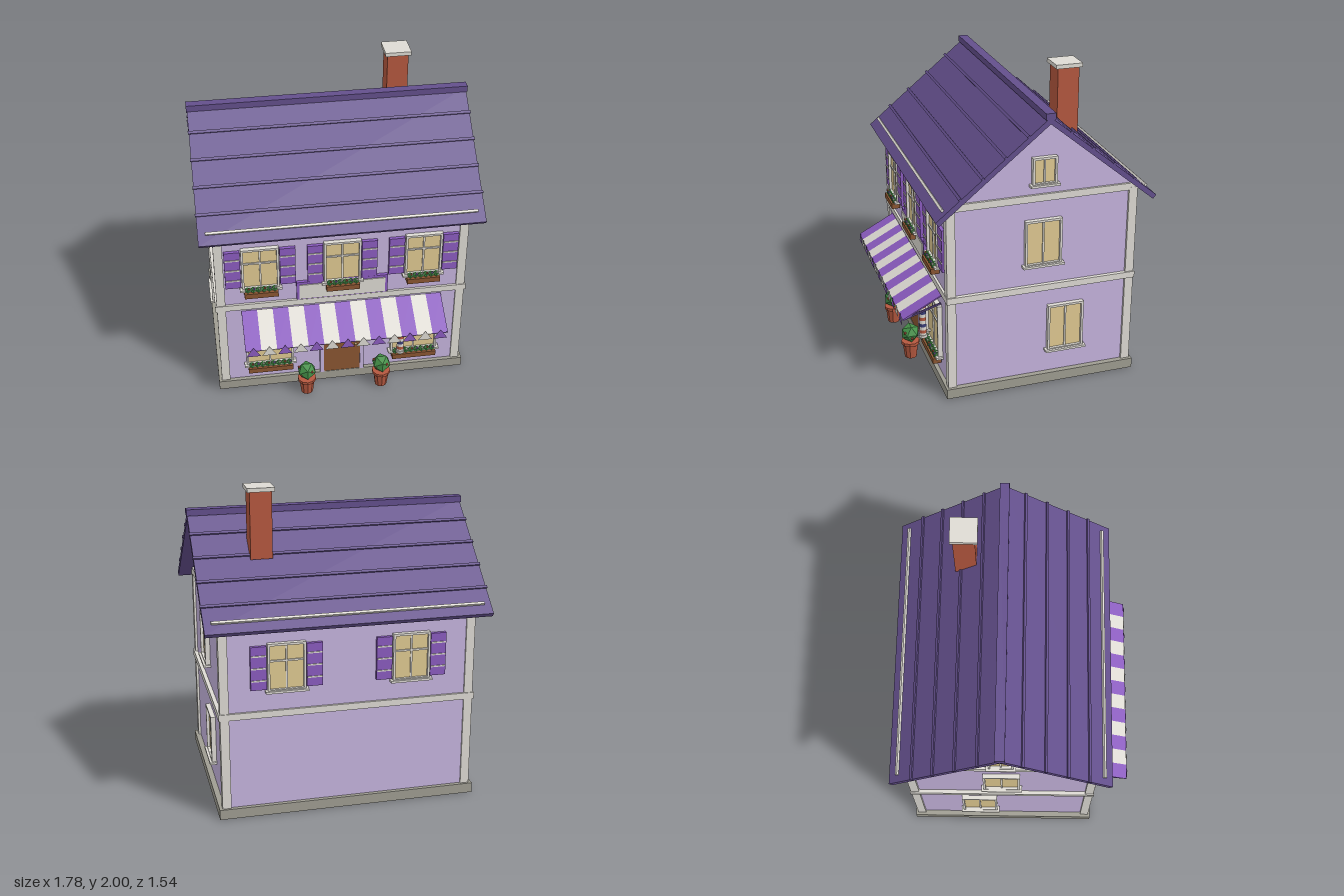
import * as THREE from 'three';

const mat = (name, color, side = THREE.FrontSide) => {
  const m = new THREE.MeshStandardMaterial({ color, side, flatShading: true });
  m.name = name;
  return m;
};

export function createModel() {
  const wall = mat('lilac wall', 0xc6b4de), roof = mat('roof violet', 0x634f8c);
  const purple = mat('bright purple', 0x8b5cc0, THREE.DoubleSide);
  const trim = mat('off white trim', 0xdedbd4, THREE.DoubleSide);
  const glass = mat('warm glass', 0xe0ca92), stone = mat('base stone', 0x9f9d92);
  const brick = mat('brick red', 0xb5583f), wood = mat('door wood', 0x8a5632);
  const leaf = mat('leaf green', 0x459048), navy = mat('navy', 0x3a3f78);

  const house = new THREE.Group();
  house.name = 'house';
  const add = (parent, name, geo, m, x = 0, y = 0, z = 0) => {
    const mesh = new THREE.Mesh(geo, m);
    mesh.name = name;
    mesh.position.set(x, y, z);
    parent.add(mesh);
    return mesh;
  };
  const box = (parent, name, m, w, h, d, x, y, z) =>
    add(parent, name, new THREE.BoxGeometry(w, h, d), m, x, y, z);
  const group = (name, x, y, z, ry = 0, parent = house) => {
    const g = new THREE.Group();
    g.name = name;
    g.position.set(x, y, z);
    g.rotation.y = ry;
    parent.add(g);
    return g;
  };

  const CZ = -0.08, HX = 0.785, HZ = 0.595; // house centre in z, wall half sizes

  // Base and walls; the wall outline includes the gable
  box(house, 'base', stone, 1.64, 0.065, 1.24, 0, 0.0325, CZ);
  const outline = new THREE.Shape();
  outline.moveTo(-HZ, 0.06);
  outline.lineTo(HZ, 0.06);
  outline.lineTo(HZ, 1.28);
  outline.lineTo(0, 1.77);
  outline.lineTo(-HZ, 1.28);
  const body = new THREE.ExtrudeGeometry(outline, { depth: HX * 2, bevelEnabled: false });
  body.translate(0, 0, -HX).rotateY(Math.PI / 2);
  add(house, 'walls', body, wall, 0, 0, CZ);

  // Corner posts and horizontal bands
  for (const sx of [-1, 1]) for (const sz of [-1, 1])
    box(house, 'cornerPost', trim, 0.055, 1.2, 0.055, sx * 0.773, 0.665, CZ + sz * 0.578);
  box(house, 'floorBand', trim, 1.62, 0.042, 1.22, 0, 0.672, CZ);
  box(house, 'eaveBand', trim, 1.6, 0.045, 1.2, 0, 1.27, CZ);

  // Roof: two slabs with course ridges and a snow rail each
  const slope = Math.atan2(0.565, 0.69), len = Math.hypot(0.565, 0.69);
  for (const ry of [0, Math.PI]) {
    const side = group('roofSide', 0, 1.8, CZ, ry);
    const tilt = group('roofSlope', 0, 0, 0, 0, side);
    tilt.rotation.x = slope;
    box(tilt, 'roofSlab', roof, 1.77, 0.032, len, 0, -0.016, len / 2);
    for (const h of [0.13, 0.268, 0.405, 0.54])
      box(tilt, 'roofCourse', roof, 1.78, 0.014, 0.018, 0, 0.003, h / Math.cos(slope));
    box(tilt, 'snowRail', trim, 1.68, 0.016, 0.016, 0, 0.008, 0.633 / Math.cos(slope));
  }
  box(house, 'ridgeCap', roof, 1.78, 0.04, 0.06, 0, 1.805, CZ);

  // Chimney
  box(house, 'chimney', brick, 0.136, 0.42, 0.136, 0.475, 1.77, -0.317);
  box(house, 'chimneyCap', trim, 0.168, 0.025, 0.168, 0.475, 1.9875, -0.317);

  // Window facing local +z, its origin on the wall surface
  const makeWindow = (x, y, z, ry, w, h, { bar = false, shutters = false } = {}) => {
    const g = group('window', x, y, z, ry), t = 0.014;
    box(g, 'pane', glass, w - t, h - t, 0.014, 0, 0, 0.005);
    for (const s of [-1, 1]) {
      box(g, 'frameSide', trim, t, h, 0.034, s * (w - t) / 2, 0, 0.013);
      box(g, 'frameEnd', trim, w, t, 0.034, 0, s * (h - t) / 2, 0.013);
    }
    box(g, 'mullion', trim, 0.011, h - t, 0.012, 0, 0, 0.014);
    if (bar) box(g, 'crossbar', trim, w - t, 0.011, 0.012, 0, h * 0.13, 0.014);
    box(g, 'sill', trim, w + 0.03, 0.014, 0.05, 0, -h / 2, 0.02);
    if (shutters) for (const s of [-1, 1]) {
      box(g, 'shutter', purple, 0.098, 0.275, 0.022, s * 0.172, 0, 0.011);
      for (const dy of [-0.078, 0, 0.078])
        box(g, 'shutterSlat', trim, 0.09, 0.009, 0.006, s * 0.172, dy, 0.024);
    }
  };

  // Planter with a row of leaves and small blooms
  const makePlanter = (x, y, w) => {
    const g = group('planter', x, y, 0.55), n = Math.round(w / 0.035);
    box(g, 'planterBox', wood, w, 0.036, 0.055, 0, 0, 0);
    for (let i = 0; i < n; i++) {
      const px = (i + 0.5) / n * (w - 0.01) - (w - 0.01) / 2;
      add(g, 'leaves', new THREE.IcosahedronGeometry(0.021, 0), leaf, px, 0.03, 0);
      add(g, 'bloom', new THREE.IcosahedronGeometry(0.008, 0),
        [brick, purple, trim][i % 3], px + 0.006, 0.046, 0.012);
    }
  };

  const front = CZ + HZ, back = CZ - HZ;
  for (const x of [-0.517, 0, 0.517]) {
    makeWindow(x, 0.973, front, 0, 0.235, 0.305, { bar: true, shutters: true });
    makePlanter(x, 0.792, 0.213);
  }
  for (const x of [-0.476, 0.48]) {
    makeWindow(x, 0.37, front, 0, 0.31, 0.36, { bar: true });
    makePlanter(x, 0.165, 0.293);
  }
  for (const x of [-0.39, 0.39])
    makeWindow(x, 0.973, back, Math.PI, 0.235, 0.305, { bar: true, shutters: true });
  for (const s of [-1, 1]) {
    const ry = s * Math.PI / 2;
    makeWindow(s * HX, 1.443, CZ, ry, 0.155, 0.175);
    makeWindow(s * HX, 0.98, CZ, ry, 0.235, 0.3);
    makeWindow(s * HX, 0.382, -0.235, ry, 0.235, 0.315);
  }

  // Blank sign board
  box(house, 'signFrame', purple, 0.585, 0.135, 0.022, 0, 0.767, 0.525);
  box(house, 'signFace', trim, 0.55, 0.108, 0.008, 0, 0.762, 0.538);

  // Door
  const door = group('door', 0, 0, front);
  box(door, 'doorLeaf', wood, 0.24, 0.5, 0.024, 0, 0.315, 0.01);
  for (const s of [-1, 1])
    box(door, 'doorJamb', wall, 0.026, 0.52, 0.034, s * 0.133, 0.325, 0.012);
  box(door, 'doorHead', wall, 0.292, 0.026, 0.034, 0, 0.578, 0.012);
  box(door, 'doorPane', glass, 0.14, 0.18, 0.008, 0, 0.43, 0.023);
  add(door, 'doorKnob', new THREE.SphereGeometry(0.009, 8, 6), glass, 0.09, 0.285, 0.03);

  // Wall lanterns beside the door
  for (const s of [-1, 1]) {
    const lamp = group('lantern', s * 0.19, 0.45, 0.55);
    box(lamp, 'lanternArm', wood, 0.01, 0.01, 0.04, 0, 0.024, -0.02);
    add(lamp, 'lanternCap', new THREE.ConeGeometry(0.017, 0.016, 6), wood, 0, 0.02, 0);
    add(lamp, 'lanternGlass', new THREE.CylinderGeometry(0.013, 0.009, 0.028, 6), glass);
  }

  // Striped awning with a pennant under each stripe
  const awning = group('awning', 0, 0, 0);
  const stripeW = 1.295 / 13, pitch = Math.atan2(0.13, 0.245), run = Math.hypot(0.13, 0.245);
  const pennant = new THREE.Shape();
  pennant.moveTo(-0.046, -0.035);
  pennant.lineTo(0.046, -0.035);
  pennant.lineTo(0, 0.035);
  for (let i = 0; i < 13; i++) {
    const x = (i - 6) * stripeW, m = i % 2 ? trim : purple;
    box(awning, 'awningStripe', m, stripeW, 0.008, run, x, 0.568, 0.643).rotation.x = pitch;
    add(awning, 'pennant', new THREE.ShapeGeometry(pennant), m, x, 0.5, 0.77);
  }
  for (const s of [-1, 1])
    box(awning, 'awningArm', roof, 0.012, 0.01, 0.252, s * 0.64, 0.541, 0.643)
      .rotation.x = Math.atan2(0.075, 0.245);

  // Striped pole
  const pole = group('stripedPole', 0.383, 0.22, 0.577);
  const bands = [trim, brick, trim, navy];
  for (let i = 0; i < 14; i++)
    add(pole, 'poleBand', new THREE.CylinderGeometry(0.023, 0.023, 0.023, 12), bands[i % 4],
      0, 0.0115 + i * 0.023, 0);
  for (const y of [0, 0.33])
    add(pole, 'poleCap', new THREE.CylinderGeometry(0.028, 0.028, 0.018, 12), trim, 0, y, 0);
  for (const y of [0.03, 0.3])
    box(pole, 'poleBracket', trim, 0.015, 0.012, 0.06, 0, y, -0.03);

  // Potted shrubs
  for (const s of [-1, 1]) {
    const g = group('pottedShrub', s * 0.248, 0, 0.63);
    add(g, 'pot', new THREE.CylinderGeometry(0.052, 0.04, 0.105, 10), brick, 0, 0.0525, 0);
    add(g, 'potRim', new THREE.CylinderGeometry(0.06, 0.06, 0.02, 10), brick, 0, 0.108, 0);
    add(g, 'shrub', new THREE.IcosahedronGeometry(0.064, 0), leaf, 0, 0.175, 0);
    for (let i = 0; i < 5; i++) {
      const a = i * 2.4;
      add(g, 'shrubBloom', new THREE.IcosahedronGeometry(0.01, 0), brick,
        Math.cos(a) * 0.05, 0.155 + i * 0.012, Math.sin(a) * 0.05);
    }
  }
  return house;
}
